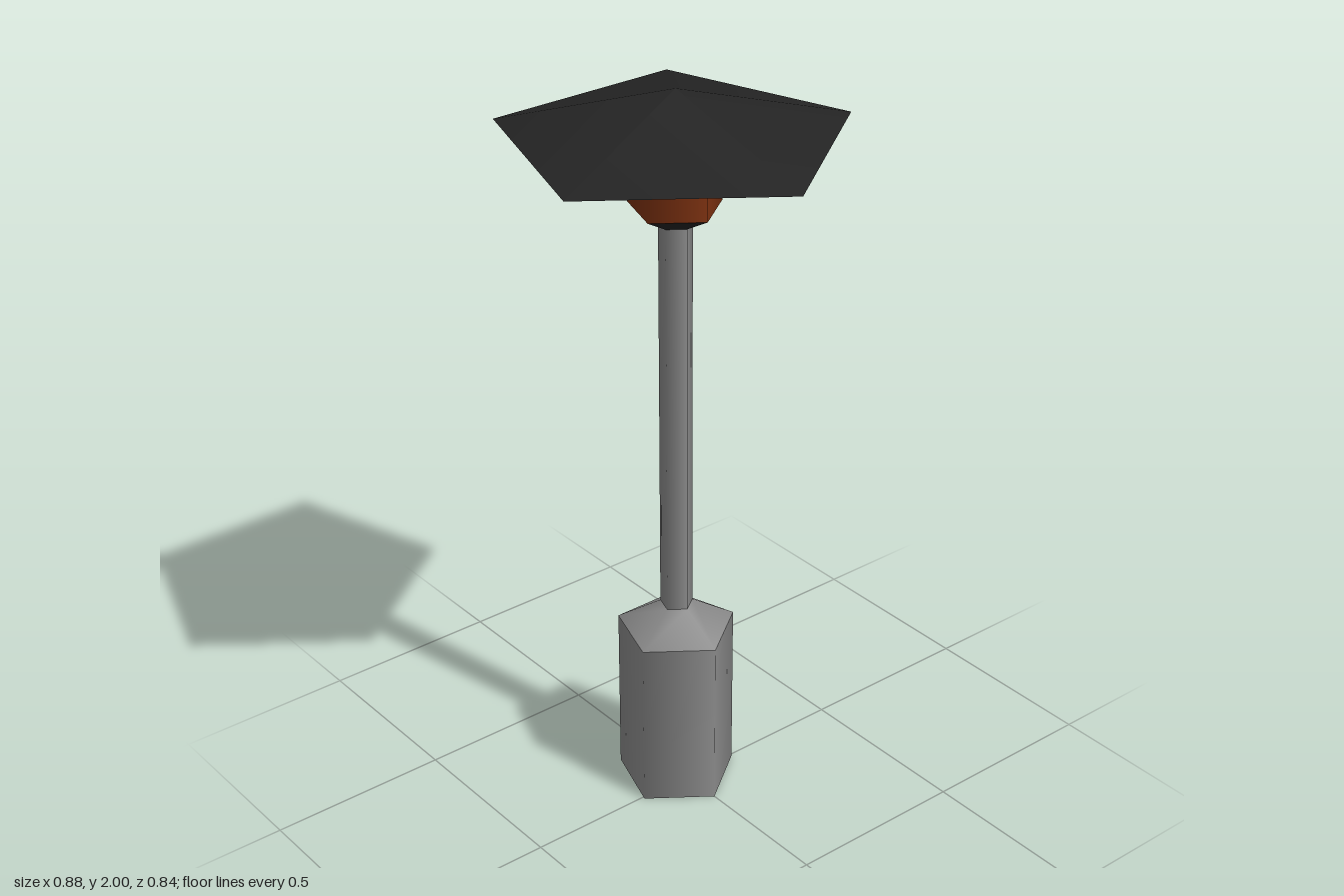
import * as THREE from 'three';

const SIDES = 5;

export function createModel() {
  const material = (name, color) => {
    const m = new THREE.MeshStandardMaterial({ color });
    m.name = name;
    return m;
  };
  const steel = material('grey steel', 0x888888);
  const copper = material('burnt orange', 0x7a3010);
  const black = material('black', 0x242424);

  const model = new THREE.Group();
  model.name = 'patioHeater';

  // Five-sided section from height y0 to y1, with one corner facing front
  const section = (name, y0, y1, rBottom, rTop, side, bottom = side, open = false) => {
    const geometry = new THREE.CylinderGeometry(rTop, rBottom, y1 - y0, SIDES, 1, open);
    const mesh = new THREE.Mesh(geometry, [side, side, bottom]);
    mesh.name = name;
    mesh.position.set(0, (y0 + y1) / 2, -0.043);
    model.add(mesh);
  };

  // Gas bottle housing with a dark underside
  section('base', 0, 0.48, 0.163, 0.163, steel, black);
  section('baseShoulder', 0.48, 0.55, 0.163, 0.045, steel, steel, true);

  // Pole
  section('pole', 0.55, 1.65, 0.045, 0.045, steel);

  // Burner head
  section('burnerCollar', 1.65, 1.695, 0.045, 0.123, black);
  section('burner', 1.695, 1.876, 0.123, 0.123, copper);

  // Reflector hood
  section('hood', 1.876, 2, 0.463, 0, black);

  return model;
}
